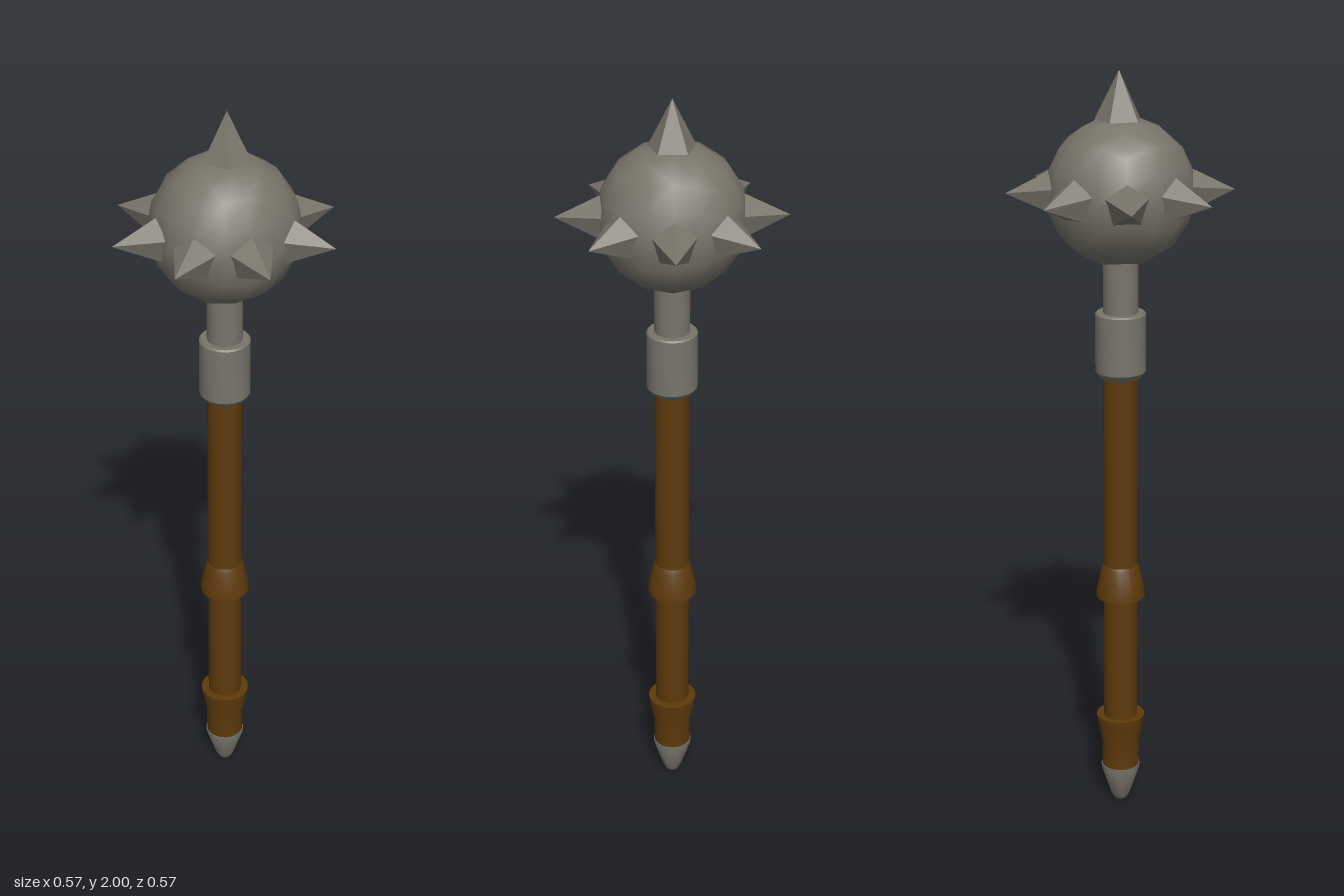
import * as THREE from 'three';
import { mergeVertices, toCreasedNormals } from 'three/addons/utils/BufferGeometryUtils.js';

export function createModel() {
  const mace = new THREE.Group();
  mace.name = 'mace';
  const metal = new THREE.MeshStandardMaterial({ color: 0x78756a });
  metal.name = 'grey metal';
  const wood = new THREE.MeshStandardMaterial({ color: 0x5e3a0b });
  wood.name = 'brown wood';
  const headY = 1.7;

  function add(name, geometry, material) {
    const mesh = new THREE.Mesh(geometry, material);
    mesh.name = name;
    mace.add(mesh);
    return mesh;
  }

  // Turned part from [radius, y] pairs, listed bottom to top
  function turned(name, profile, material) {
    const points = profile.map(([r, y]) => new THREE.Vector2(r, y));
    return add(name, toCreasedNormals(new THREE.LatheGeometry(points, 20), 0.6), material);
  }

  // Handle
  turned('pommelTip', [[0, 0], [0.017, 0.004], [0.026, 0.02], [0.052, 0.1], [0.052, 0.11], [0, 0.11]], metal);
  turned('shaft', [[0.045, 0.11], [0.045, 1.22]], wood);
  turned('lowerGripRing', [[0.05, 0.11], [0.05, 0.18], [0.063, 0.24], [0.065, 0.26], [0.045, 0.26]], wood);
  turned('upperGripRing', [[0.045, 0.61], [0.065, 0.61], [0.063, 0.63], [0.05, 0.69], [0.045, 0.7]], wood);
  turned('collar', [[0.045, 1.215], [0.052, 1.218], [0.065, 1.235], [0.065, 1.386], [0.061, 1.39], [0.045, 1.39]], metal);
  turned('neck', [[0.045, 1.38], [0.045, 1.56]], metal);

  // Ball: a gridded cube pushed out to a sphere, flattened slightly at the six face centres
  let ball = new THREE.BoxGeometry(2, 2, 2, 4, 4, 4);
  ball.deleteAttribute('normal');
  ball.deleteAttribute('uv');
  ball = mergeVertices(ball);
  const pos = ball.attributes.position;
  const v = new THREE.Vector3();
  for (let i = 0; i < pos.count; i++) {
    v.fromBufferAttribute(pos, i);
    v.set(...v.toArray().map((c) => Math.tan((c * Math.PI) / 4))).normalize();
    const atFaceCentre = Math.max(Math.abs(v.x), Math.abs(v.y), Math.abs(v.z)) > 0.99;
    v.multiplyScalar(atFaceCentre ? 0.18 : 0.188);
    pos.setXYZ(i, v.x, v.y, v.z);
  }
  ball.computeVertexNormals();
  add('ball', ball, metal).position.y = headY;

  // Five-sided spikes: eight around the equator and one on top
  const spike = toCreasedNormals(new THREE.ConeGeometry(0.061, 0.122, 5), 0.1);
  for (let i = 0; i < 8; i++) {
    const ring = new THREE.Group();
    ring.name = 'sideSpike' + (i + 1);
    ring.position.y = headY;
    ring.rotation.y = (i * Math.PI) / 4;
    const mesh = new THREE.Mesh(spike, metal);
    mesh.name = 'spike';
    // Lay the cone outward along +z with one ridge on top
    mesh.rotation.set(Math.PI / 2, Math.PI, 0);
    mesh.position.z = 0.226;
    ring.add(mesh);
    mace.add(ring);
  }
  const top = add('topSpike', spike, metal);
  top.position.set(0.005, 1.939, 0);
  top.rotation.y = -Math.PI / 2;

  return mace;
}
